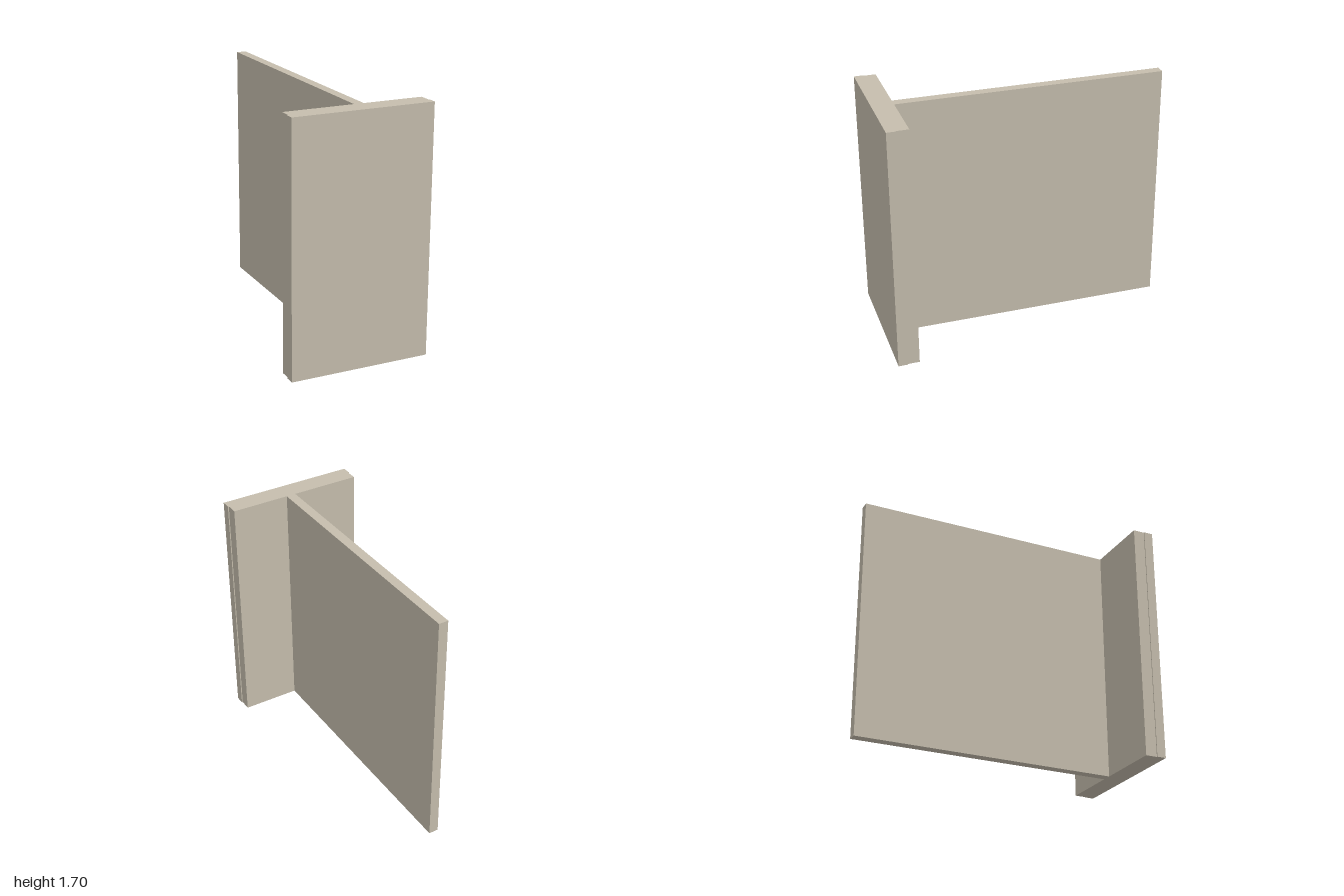
import * as THREE from 'three';

const HEIGHT = 1.7;

export function createModel() {
  const model = new THREE.Group();
  model.name = 'teeSection';
  const stone = new THREE.MeshStandardMaterial({ color: 0xc5bdad });
  stone.name = 'warm beige';

  // Upright bar spanning x0..x1 and z0..z1
  const addBar = (name, x0, x1, z0, z1) => {
    const bar = new THREE.Mesh(new THREE.BoxGeometry(x1 - x0, HEIGHT, z1 - z0), stone);
    bar.position.set((x0 + x1) / 2, HEIGHT / 2, (z0 + z1) / 2);
    bar.name = name;
    model.add(bar);
  };

  // Front flange with a slightly wider face
  addBar('frontFace', -0.485, 0.485, 0.935, 1);
  addBar('flange', -0.478, 0.478, 0.853, 0.935);
  // Thin wall running back
  addBar('web', 0.003, 0.07, -1, 0.853);
  return model;
}
